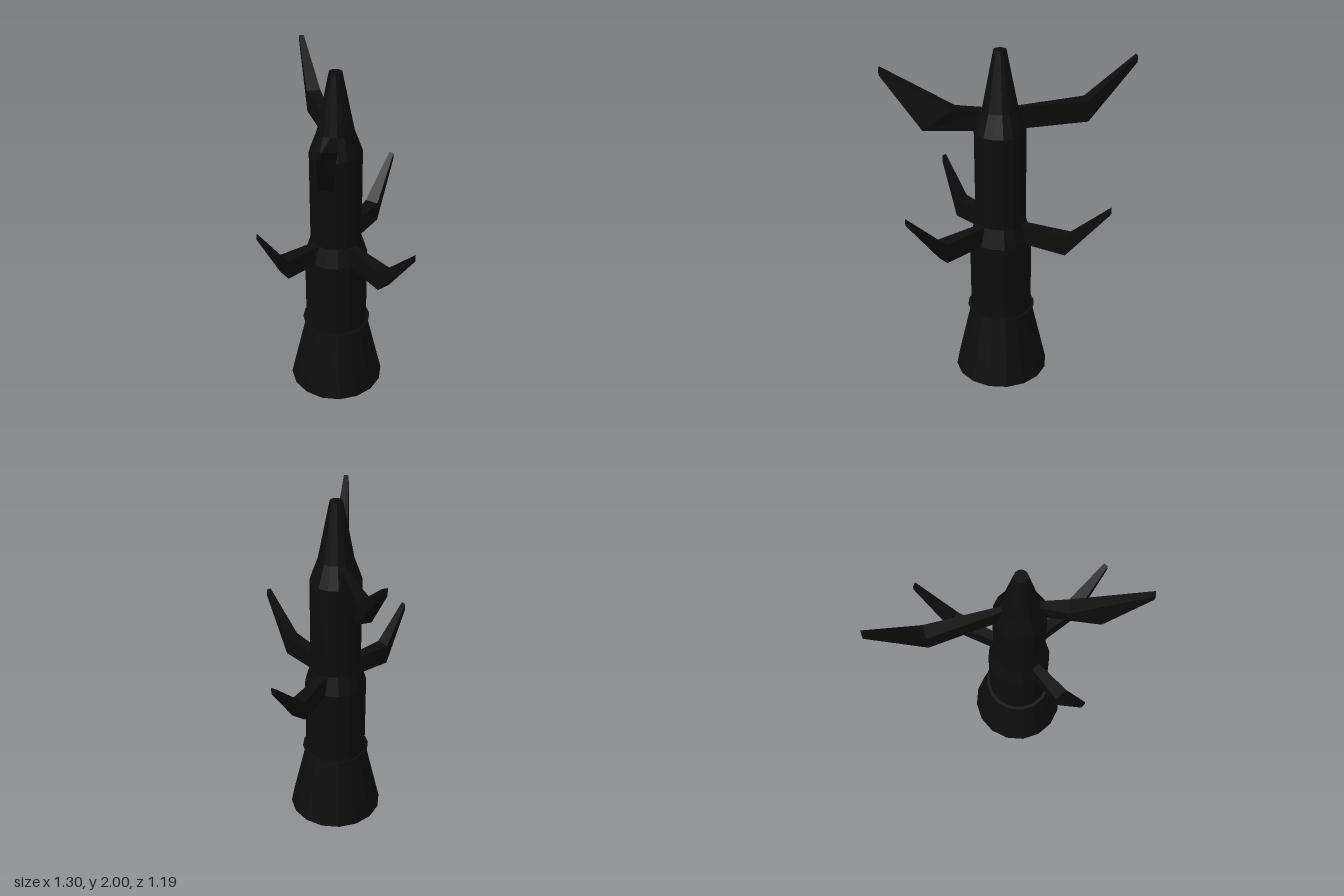
import * as THREE from 'three';

const bark = new THREE.MeshStandardMaterial({ color: 0x0c0c0c, flatShading: true });
bark.name = 'charredBark';
const barkSheet = new THREE.MeshStandardMaterial({ color: 0x0c0c0c, flatShading: true, side: THREE.DoubleSide });
barkSheet.name = 'charredBarkSheet';

const SIDES = 16;

// A branch runs level out of the trunk, then bends up to a narrow tip.
// Each station: [radius below, radius above, y below, y above, width]
function makeBranch(stations) {
  const geo = new THREE.BoxGeometry(2, 2, 2, 2, 1, 1);
  const pos = geo.attributes.position;
  for (let i = 0; i < pos.count; i++) {
    const [rLow, rHigh, yLow, yHigh, width] = stations[Math.round(pos.getX(i)) + 1];
    const upper = pos.getY(i) > 0;
    pos.setXYZ(i, upper ? rHigh : rLow, upper ? yHigh : yLow, Math.sign(pos.getZ(i)) * width / 2);
  }
  geo.computeVertexNormals();
  return new THREE.Mesh(geo, bark);
}

export function createModel() {
  const model = new THREE.Group();
  model.name = 'deadTree';
  const tree = new THREE.Group();
  tree.name = 'tree';
  tree.position.set(0.015, 0, 0.05);
  model.add(tree);

  // Stepped trunk with flared base and pointed top
  const profile = [
    [0, 0], [0.275, 0], [0.178, 0.43], [0.178, 0.89], [0.145, 1.0],
    [0.145, 1.545], [0.1, 1.67], [0.035, 2], [0, 2],
  ].map(([r, y]) => new THREE.Vector2(r, y));
  const trunk = new THREE.Mesh(new THREE.LatheGeometry(profile, SIDES), bark);
  trunk.name = 'trunk';
  tree.add(trunk);

  // Thin flange where the base meets the trunk
  const flange = new THREE.Mesh(new THREE.RingGeometry(0.17, 0.198, SIDES), barkSheet);
  flange.name = 'baseFlange';
  flange.rotation.x = -Math.PI / 2;
  flange.position.y = 0.428;
  tree.add(flange);

  // Two levels of branches
  const lower = { y0: 0.885, y1: 1.0, tip0: 1.18, tip1: 1.22, root: 0.09, rootWidth: 0.045 };
  const upper = { y0: 1.545, y1: 1.67, tip0: 1.85, tip1: 1.89, root: 0.05, rootWidth: 0.025 };

  // [name, level, direction x, direction z, elbow below, elbow above, tip]
  const branches = [
    ['lowerLeftBranch', lower, 0.635, 0.125, 0.42, 0.42, 0.645],
    ['lowerBackBranch', lower, -0.125, -0.65, 0.42, 0.42, 0.66],
    ['lowerFrontBranch', lower, -0.1, 0.51, 0.36, 0.36, 0.517],
    ['upperRightBranch', upper, -0.665, -0.45, 0.5, 0.5, 0.79],
    ['upperLeftBranch', upper, 0.37, 0.54, 0.42, 0.25, 0.645],
  ];
  for (const [name, level, dx, dz, elbowLow, elbowHigh, tip] of branches) {
    const branch = makeBranch([
      [level.root, level.root, level.y0, level.y1, level.rootWidth],
      [elbowLow, elbowHigh, level.y0, level.y1, 0.078],
      [tip, tip, level.tip0, level.tip1, 0.028],
    ]);
    branch.name = name;
    branch.rotation.y = -Math.atan2(dz, dx);
    tree.add(branch);
  }
  return model;
}
